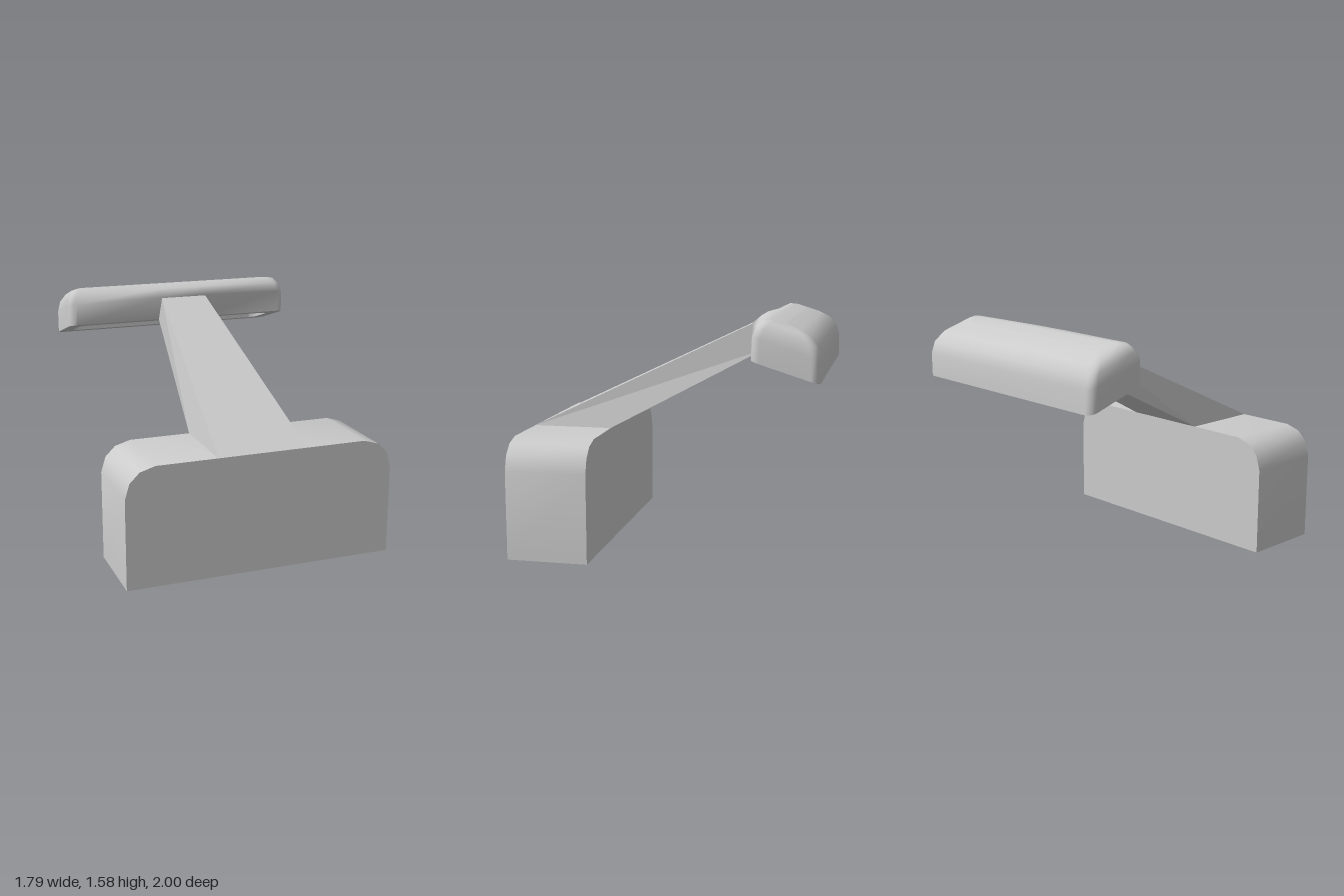
import * as THREE from 'three';
import { toCreasedNormals } from 'three/addons/utils/BufferGeometryUtils.js';

const material = new THREE.MeshStandardMaterial({ color: 0xcccccc });
const NECK = 0.165; // half width where the arm meets the head

function addMesh(parent, name, geometry) {
  const mesh = new THREE.Mesh(geometry, material);
  mesh.name = name;
  parent.add(mesh);
}

// Rounded rectangle at height h above the tilted underside of the head;
// bulge pushes the middle of the front edge out toward the arm.
function ring(h, zFront, zBack, halfX, r, bulge = 0) {
  const points = [];
  const add = (x, z) => points.push(new THREE.Vector3(x, 1.335 + 0.314 * (z + 0.57) + h, z));
  const corner = (cx, cz, quarter) => {
    for (let i = 0; i <= 4; i++) {
      const a = (quarter + i / 4) * Math.PI / 2;
      add(cx + r * Math.cos(a), cz - r * Math.sin(a));
    }
  };
  corner(halfX - r, zBack + r, 0);
  corner(r - halfX, zBack + r, 1);
  corner(r - halfX, zFront - r, 2);
  add(-NECK, zFront + bulge);
  add(NECK, zFront + bulge);
  corner(halfX - r, zFront - r, 3);
  return points;
}

// Skin between successive rings, with smooth normals
function loft(rings) {
  const n = rings[0].length;
  const index = [];
  for (let k = 0; k < rings.length - 1; k++) {
    for (let i = 0; i < n; i++) {
      const j = (i + 1) % n;
      const a = k * n + i, b = k * n + j;
      index.push(a, b, b + n, a, b + n, a + n);
    }
  }
  const geometry = new THREE.BufferGeometry().setFromPoints(rings.flat());
  geometry.setIndex(index);
  geometry.computeVertexNormals();
  return geometry;
}

function baseGeometry() {
  const half = [[0.895, 0], [0.895, 0.59], [0.865, 0.69], [0.8, 0.755], [0.7, 0.785]];
  const outline = [...half, ...half.map(([x, y]) => [-x, y]).reverse()];
  const shape = new THREE.Shape(outline.map(([x, y]) => new THREE.Vector2(x, y)));
  const geometry = new THREE.ExtrudeGeometry(shape, { depth: 0.54, bevelEnabled: false });
  geometry.translate(0, 0, 0.46);
  return toCreasedNormals(geometry, 0.65);
}

// Box whose corners are moved to make the leaning, tapering arm
function armGeometry() {
  const geometry = new THREE.BoxGeometry(2, 2, 2).toNonIndexed();
  const p = geometry.attributes.position;
  for (let i = 0; i < p.count; i++) {
    const side = p.getX(i), front = p.getZ(i) > 0;
    if (p.getY(i) > 0) p.setXYZ(i, side * NECK, front ? 1.505 : 1.335, front ? -0.49 : -0.57);
    else p.setXYZ(i, side * 0.298, 0.785, front ? 1 : 0.46);
  }
  geometry.computeVertexNormals();
  return geometry;
}

export function createModel() {
  const model = new THREE.Group();
  model.name = 'razor';
  addMesh(model, 'base', baseGeometry());
  addMesh(model, 'arm', armGeometry());

  // Hollow head: outer shell, flat rim and recessed slot
  const head = new THREE.Group();
  head.name = 'head';
  model.add(head);
  const outerEdge = ring(0, -0.57, -1, 0.825, 0.055);
  const slotEdge = ring(0, -0.65, -0.92, 0.735, 0.06);
  addMesh(head, 'headShell', loft([
    outerEdge,
    ring(0.15, -0.575, -1, 0.825, 0.055, 0.085),
    ring(0.22, -0.6, -0.98, 0.812, 0.055, 0.05),
    ring(0.265, -0.635, -0.93, 0.78, 0.05, 0.01),
    ring(0.28, -0.68, -0.87, 0.73, 0.03),
    ring(0.283, -0.77, -0.77, 0.66, 0),
  ]));
  addMesh(head, 'headRim', loft([slotEdge, outerEdge]));
  addMesh(head, 'headSlot', loft([
    ring(0.2, -0.785, -0.785, 0.62, 0),
    ring(0.19, -0.69, -0.88, 0.7, 0.05),
    ring(0.13, -0.65, -0.92, 0.735, 0.06),
    slotEdge,
  ]));
  return model;
}
